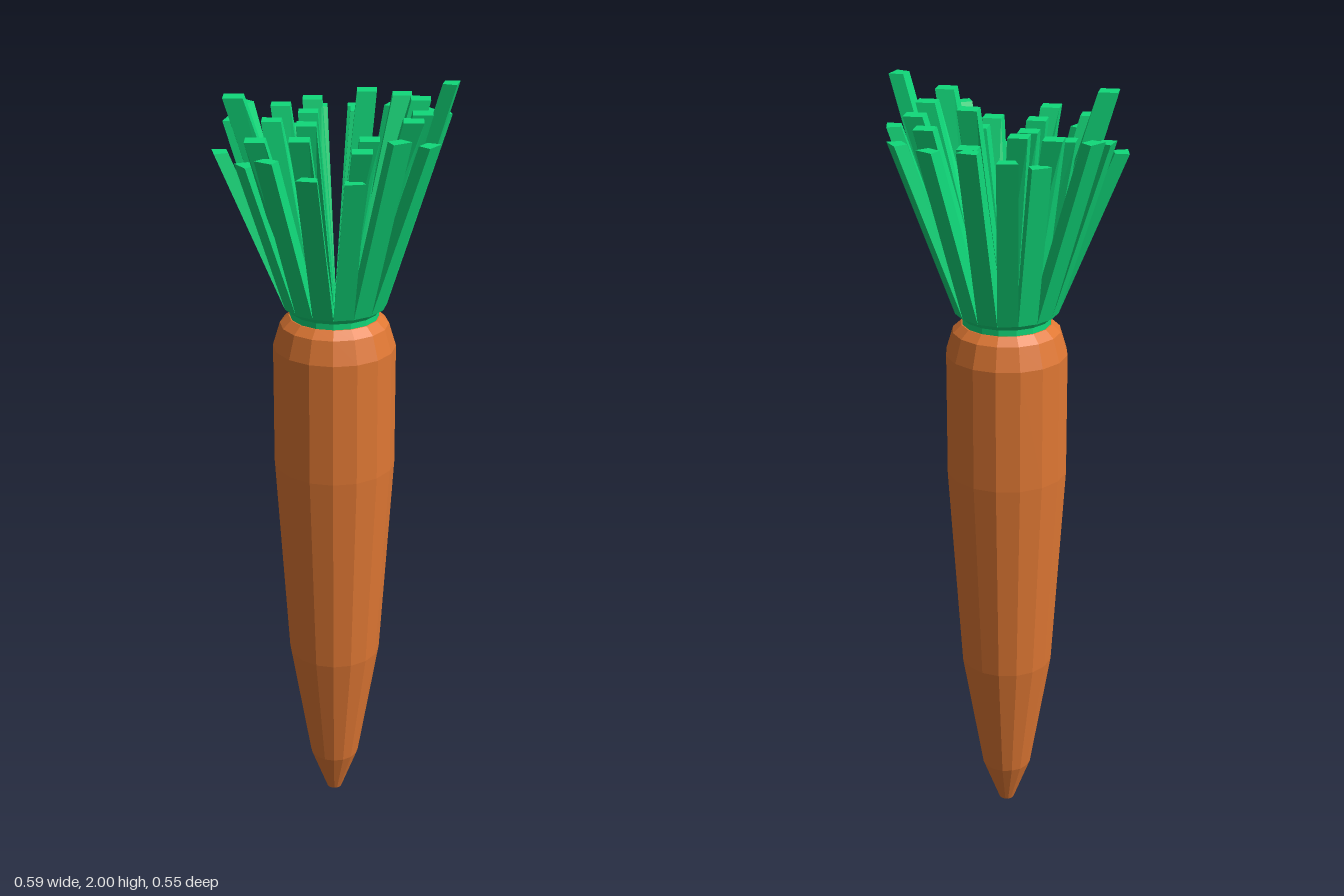
import * as THREE from 'three';

const SIDES = 16;
const CENTER_Z = -0.008;
const STALK_BASE = 1.44;
const orange = new THREE.MeshStandardMaterial({ color: 0xe07834, flatShading: true });
const green = new THREE.MeshStandardMaterial({ color: 0x10d97a, flatShading: true });

function lathe(name, profile, material) {
  const points = profile.map(([r, y]) => new THREE.Vector2(r, y));
  const mesh = new THREE.Mesh(new THREE.LatheGeometry(points, SIDES), material);
  mesh.name = name;
  mesh.position.z = CENTER_Z;
  return mesh;
}

// A leaning four-sided stalk: base(u, v) and top(u, v) give its corners, u and v in {0, 1}
function stalk(name, base, top, height) {
  const geo = new THREE.BoxGeometry(1, 1, 1);
  const pos = geo.attributes.position;
  for (let i = 0; i < pos.count; i++) {
    const u = pos.getX(i) > 0 ? 1 : 0;
    const v = pos.getZ(i) > 0 ? 1 : 0;
    const upper = pos.getY(i) > 0;
    const [x, z] = upper ? top(u, v) : base(u, v);
    pos.setXYZ(i, x, upper ? height : STALK_BASE - 0.01, z);
  }
  geo.computeVertexNormals();
  const mesh = new THREE.Mesh(geo, green);
  mesh.name = name;
  return mesh;
}

// Maps a point of the 4 x 4 grid onto a disc of radius 0.105
function gridToDisc(i, j) {
  const ring = Math.max(Math.abs(i), Math.abs(j));
  if (ring === 0) return [0, CENTER_Z];
  const x = Math.tan((i / ring) * Math.PI / 4);
  const z = Math.tan((j / ring) * Math.PI / 4);
  const r = ring * 0.0525 / Math.hypot(x, z);
  return [x * r, z * r + CENTER_Z];
}

// Stalk tips as [x, z, height]: outer ring by angle from +x towards +z
const outerTips = [
  [0.275, 0.055, 2.0], [0.225, 0.133, 1.87], [0.152, 0.218, 1.9], [0.05, 0.205, 1.8],
  [-0.055, 0.252, 1.82], [-0.15, 0.205, 1.85], [-0.205, 0.128, 1.82], [-0.272, 0.045, 1.83],
  [-0.25, -0.07, 1.88], [-0.228, -0.162, 1.9], [-0.105, -0.172, 1.84], [-0.045, -0.257, 1.87],
  [0.05, -0.222, 1.88], [0.145, -0.222, 1.88], [0.232, -0.167, 1.88], [0.262, -0.07, 1.9],
];
// Inner tips, row by row from back to front
const innerTips = [
  [-0.135, -0.143, 1.9], [-0.058, -0.17, 1.91], [0.06, -0.18, 1.88], [0.164, -0.173, 1.92],
  [-0.154, -0.063, 1.88], [-0.065, -0.073, 1.9], [0.077, -0.087, 1.95], [0.208, -0.083, 1.93],
  [-0.235, 0.075, 1.97], [-0.065, 0.054, 1.9], [0.085, 0.078, 1.87], [0.21, 0.067, 1.93],
  [-0.18, 0.17, 1.89], [-0.076, 0.2, 1.9], [0.069, 0.19, 1.87], [0.186, 0.18, 1.94],
];

export function createModel() {
  const model = new THREE.Group();
  model.name = 'carrot';

  // Root, closed at both ends
  model.add(lathe('root', [
    [0, 0], [0.02, 0], [0.065, 0.12], [0.12, 0.45], [0.155, 1.0],
    [0.155, 1.32], [0.137, 1.38], [0.115, 1.4], [0, 1.4],
  ], orange));

  // Green collar that the stalks grow from
  model.add(lathe('collar', [[0.112, 1.4], [0.112, 1.415], [0.131, STALK_BASE], [0, STALK_BASE]], green));

  const leaves = new THREE.Group();
  leaves.name = 'leaves';
  model.add(leaves);

  // Outer ring of wedge-shaped stalks
  const step = 2 * Math.PI / SIDES;
  outerTips.forEach(([tx, tz, h], i) => {
    const corner = (u, v) => {
      const r = u ? 0.131 : 0.095;
      return [r * Math.cos((i + v) * step), r * Math.sin((i + v) * step) + CENTER_Z];
    };
    const mid = (i + 0.5) * step;
    const cx = 0.111 * Math.cos(mid), cz = 0.111 * Math.sin(mid) + CENTER_Z;
    const tip = (u, v) => {
      const [x, z] = corner(u, v);
      return [x - cx + tx, z - cz + tz];
    };
    leaves.add(stalk('outerStalk', corner, tip, h));
  });

  // Inner stalks on a grid, square at the tip
  innerTips.forEach(([tx, tz, h], k) => {
    const i = k % 4 - 2, j = Math.floor(k / 4) - 2;
    const base = (u, v) => gridToDisc(i + u, j + v);
    const tip = (u, v) => [tx + (u - 0.5) * 0.048, tz + (v - 0.5) * 0.048];
    leaves.add(stalk('innerStalk', base, tip, h));
  });

  return model;
}
